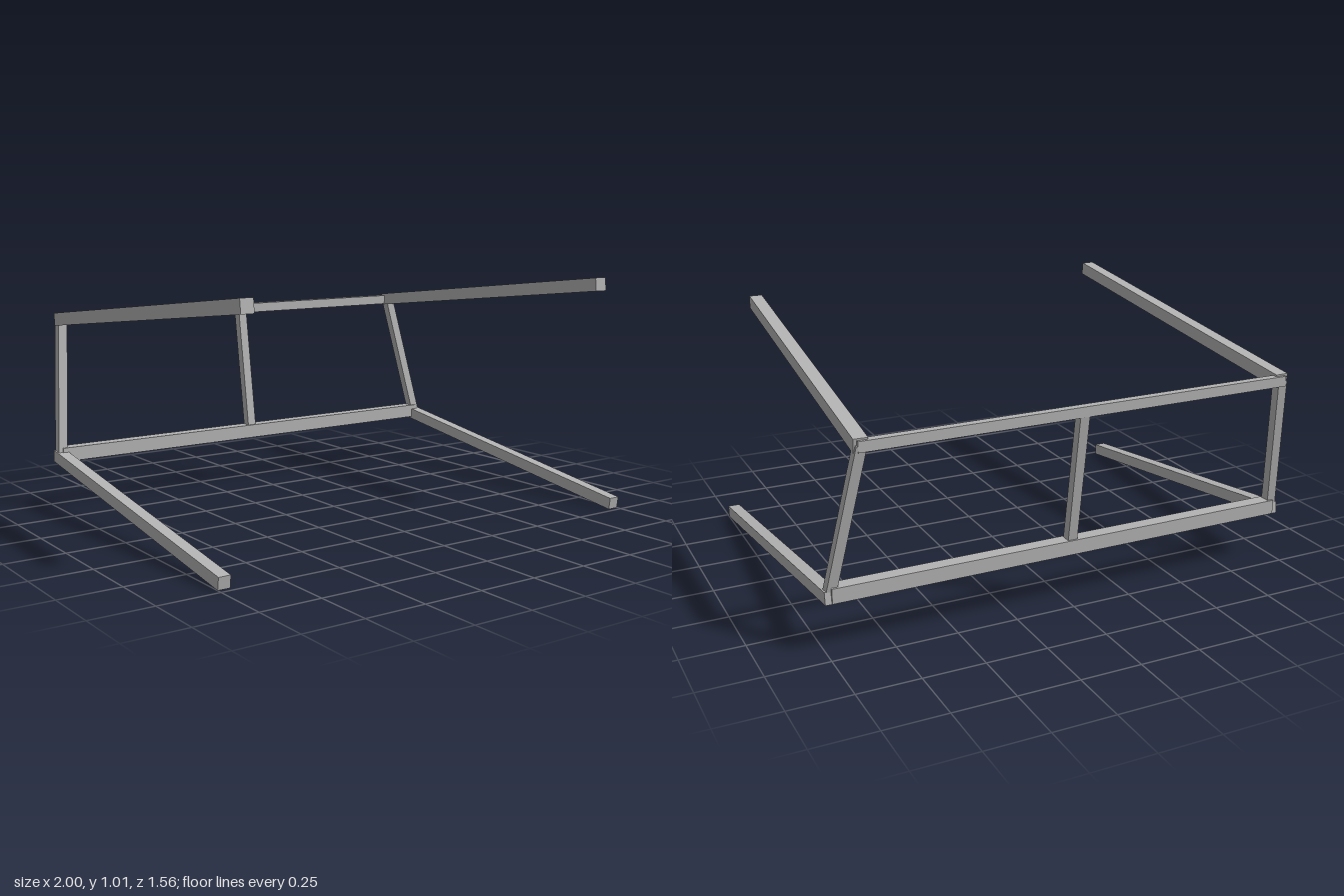
import * as THREE from 'three';

const V = (x, y, z) => new THREE.Vector3(x, y, z);

export function createModel() {
  const model = new THREE.Group();
  model.name = 'openFrame';
  const grey = new THREE.MeshStandardMaterial({ color: 0xb3b3b3 });
  grey.name = 'plain grey';

  // Square-cut beam running from a to b; up sets the direction of its height
  function beam(name, a, b, width, height, up = V(0, 1, 0)) {
    const mesh = new THREE.Mesh(new THREE.BoxGeometry(width, height, a.distanceTo(b)), grey);
    mesh.name = name;
    mesh.up.copy(up);
    mesh.position.copy(a).add(b).multiplyScalar(0.5);
    mesh.lookAt(b);
    model.add(mesh);
  }

  // Each side: lower arm, leaning upright and upper arm; the two sides lean differently
  const sides = [
    { name: 'right', low: -0.975, topBack: -0.922, topFront: -0.898 },
    { name: 'left', low: 0.975, topBack: 0.866, topFront: 0.8 },
  ];
  for (const s of sides) {
    beam(s.name + 'LowerArm', V(s.low, 0.232, -0.7), V(s.low, 0.03, 0.73), 0.05, 0.05);
    beam(s.name + 'Upright', V(s.low, 0.24, -0.675), V(s.topBack, 0.82, -0.757), 0.04, 0.04, V(0, 0, 1));
    beam(s.name + 'UpperArm', V(s.topBack, 0.82, -0.765), V(s.topFront, 0.992, 0.776), 0.055, 0.055);
  }

  // Rear rails and the post between them
  beam('lowerRail', V(-0.975, 0.24, -0.68), V(0.975, 0.24, -0.68), 0.058, 0.06);
  beam('upperRail', V(-0.935, 0.819, -0.762), V(0.88, 0.819, -0.762), 0.034, 0.042);
  beam('middlePost', V(-0.015, 0.25, -0.678), V(-0.015, 0.81, -0.757), 0.04, 0.04, V(0, 0, 1));
  return model;
}
